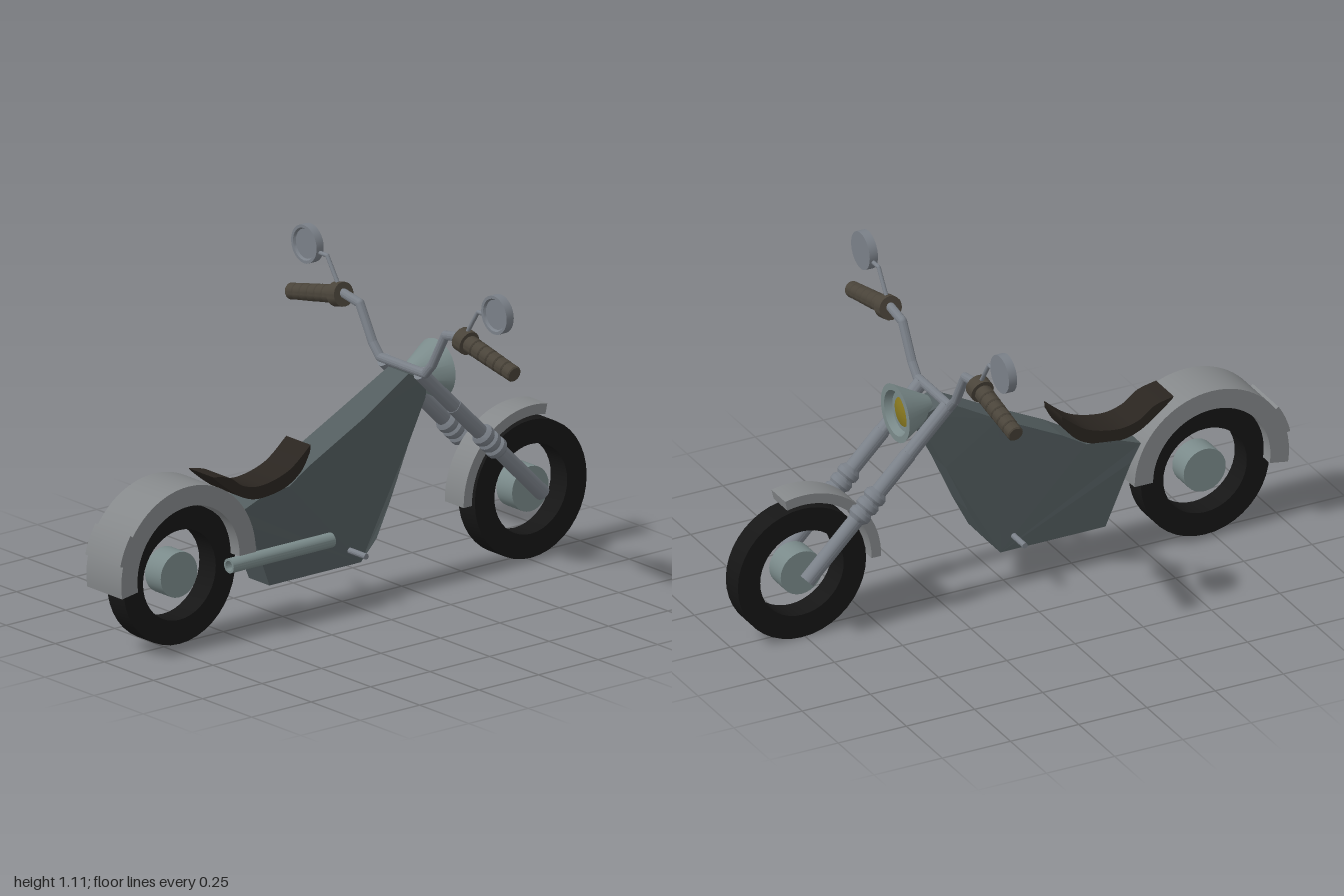
import * as THREE from 'three';
import { toCreasedNormals } from 'three/addons/utils/BufferGeometryUtils.js';

const mat = (color) => new THREE.MeshStandardMaterial({ color, side: THREE.DoubleSide });
const M = {
  rubber: mat(0x161616), steel: mat(0x7a8088), chrome: mat(0x7a8a8a), body: mat(0x525c5e),
  fender: mat(0x85888a), seat: mat(0x2a2520), grip: mat(0x4a443a), lens: mat(0x8a7a20),
};
const V = (x, y, z) => new THREE.Vector3(x, y, z);
const X = V(1, 0, 0), Y = V(0, 1, 0), Z = V(0, 0, 1);

function add(parent, name, geometry, material) {
  const mesh = new THREE.Mesh(geometry, material);
  mesh.name = name;
  parent.add(mesh);
  return mesh;
}

// Turned part: [radius, distance] profile along an axis starting at pos
function turned(parent, name, profile, pos, axis, material, sides = 24) {
  const pts = profile.map(([r, d]) => new THREE.Vector2(r, d));
  const mesh = add(parent, name, toCreasedNormals(new THREE.LatheGeometry(pts, sides), 0.6), material);
  mesh.position.copy(pos);
  mesh.quaternion.setFromUnitVectors(Y, axis.clone().normalize());
  return mesh;
}

// Solid rod between two points
function rod(parent, name, a, b, r, material, sides = 16) {
  const dir = b.clone().sub(a), len = dir.length();
  return turned(parent, name, [[0, 0], [r, 0], [r, len], [0, len]], a, dir, material, sides);
}

// Side outline extruded symmetrically across z
function slab(parent, name, shape, half, material) {
  const g = new THREE.ExtrudeGeometry(shape, { depth: half * 2, bevelEnabled: false, curveSegments: 20 });
  g.translate(0, 0, -half);
  return add(parent, name, toCreasedNormals(g, 0.5), material);
}

function arcBand(cx, cy, inner, outer, fromDeg, toDeg) {
  const a = THREE.MathUtils.degToRad(fromDeg), b = THREE.MathUtils.degToRad(toDeg);
  const s = new THREE.Shape();
  s.absarc(cx, cy, outer, a, b, false);
  s.absarc(cx, cy, inner, b, a, true);
  s.closePath();
  return s;
}

function wheel(parent, name, x, y) {
  const g = new THREE.Group();
  g.name = name;
  const w = 0.042;
  turned(g, 'tire', [[0.153, -w], [0.235, -w], [0.235, w], [0.153, w], [0.153, -w]], V(0, 0, 0), Z, M.rubber, 40);
  rod(g, 'hub', V(0, 0, -0.04), V(0, 0, 0.04), 0.077, M.chrome, 28);
  g.position.set(x, y, 0);
  parent.add(g);
}

function bodyShell(parent) {
  const outline = [
    [-0.345, 0.14], [0.04, 0.14], [0.1, 0.21], [0.16, 0.325], [0.24, 0.5], [0.315, 0.645], [0.32, 0.71],
    [0.24, 0.74], [0.05, 0.635], [-0.18, 0.52], [-0.27, 0.465], [-0.39, 0.45], [-0.47, 0.42], [-0.435, 0.36],
  ];
  const shape = new THREE.Shape(outline.map(([x, y]) => new THREE.Vector2(x, y)));
  const g = new THREE.ExtrudeGeometry(shape, { depth: 2, bevelEnabled: false });
  g.translate(0, 0, -1);
  // Narrow the shell toward the steering head and along the belly
  const p = g.attributes.position;
  for (let i = 0; i < p.count; i++) {
    const front = THREE.MathUtils.clamp((p.getX(i) - 0.04) / 0.25, 0, 1);
    const belly = p.getY(i) < 0.2 ? 0.01 : 0;
    p.setZ(i, p.getZ(i) * (0.062 - 0.014 * front - belly));
  }
  g.computeVertexNormals();
  add(parent, 'body', g, M.body);
}

function fork(parent, z) {
  const a = V(0.255, 0.75, z), b = V(0.77, 0.235, z), dir = b.clone().sub(a), len = dir.length();
  const r = 0.0265;
  const profile = [[0, 0], [r - 0.002, 0], [r - 0.002, 0.2], [r, 0.2], [r, 0.355]];
  // Three rounded gaiter rings
  for (let i = 0; i < 3; i++) {
    const d = 0.36 + i * 0.037;
    profile.push([0.031, d], [0.038, d + 0.009], [0.038, d + 0.026], [0.031, d + 0.035]);
  }
  profile.push([r, 0.475], [r, len], [0, len]);
  turned(parent, 'fork', profile, a, dir, M.steel, 20);
}

// Chain of rods with ball joints
function bentRod(parent, name, points, r, material) {
  for (let i = 1; i < points.length; i++) {
    rod(parent, name, points[i - 1], points[i], r, material, 14);
    if (i < points.length - 1) {
      add(parent, name + 'Joint', new THREE.SphereGeometry(r, 14, 10), material).position.copy(points[i]);
    }
  }
}

function handlebarSide(s) {
  const g = new THREE.Group();
  g.name = s > 0 ? 'rightHandlebar' : 'leftHandlebar';
  const x = 0.254;
  const at = (y, z) => V(x, y, s * z);
  bentRod(g, 'bar', [at(0.755, 0), at(0.755, 0.115), at(0.795, 0.152), at(0.912, 0.218), at(0.926, 0.3), at(0.866, 0.562)], 0.0155, M.steel);

  // Collar and ribbed grip
  const start = at(0.922, 0.3), dir = at(0.866, 0.57).sub(start);
  const profile = [[0, 0], [0.041, 0], [0.041, 0.04], [0.027, 0.04]];
  for (let i = 0; i < 6; i++) {
    const d = 0.042 + i * 0.039, r = 0.0305 - i * 0.0006;
    profile.push([r - 0.004, d], [r, d + 0.004], [r, d + 0.035], [r - 0.004, d + 0.039]);
  }
  profile.push([0, 0.276]);
  turned(g, 'grip', profile, start, dir, M.grip, 18);

  // Mirror with a recessed face toward the rider
  bentRod(g, 'mirrorStem', [at(0.94, 0.322), at(1.033, 0.384), at(1.033, 0.43)], 0.007, M.steel);
  turned(g, 'mirror', [[0, 0.008], [0.05, 0.008], [0.055, 0], [0.065, 0], [0.065, 0.03], [0, 0.03]],
    V(0.238, 1.05, s * 0.484), X, M.steel, 32);
  return g;
}

export function createModel() {
  const model = new THREE.Group();
  model.name = 'motorcycle';
  const chassis = new THREE.Group();
  chassis.name = 'chassis';
  chassis.position.z = -0.005;
  model.add(chassis);

  wheel(chassis, 'rearWheel', -0.715, 0.25);
  wheel(chassis, 'frontWheel', 0.762, 0.238);
  bodyShell(chassis);

  // Fenders
  slab(chassis, 'rearFender', arcBand(-0.715, 0.28, 0.215, 0.283, 0, 189), 0.089, M.fender);
  slab(chassis, 'tailBlock', arcBand(-0.715, 0.28, 0.26, 0.295, 146, 167), 0.089, M.fender);
  slab(chassis, 'frontFender', arcBand(0.762, 0.238, 0.252, 0.287, 77, 181), 0.048, M.fender);

  // Seat crescent
  const seat = new THREE.Shape();
  seat.moveTo(-0.59, 0.562);
  seat.splineThru([[-0.52, 0.545], [-0.46, 0.505], [-0.38, 0.492], [-0.27, 0.52], [-0.18, 0.588]].map(([x, y]) => new THREE.Vector2(x, y)));
  seat.lineTo(-0.182, 0.565);
  seat.splineThru([[-0.22, 0.505], [-0.29, 0.463], [-0.39, 0.449], [-0.46, 0.465], [-0.53, 0.51], [-0.585, 0.555]].map(([x, y]) => new THREE.Vector2(x, y)));
  seat.closePath();
  slab(chassis, 'seat', seat, 0.062, M.seat);

  // Exhaust with an open rear end
  turned(chassis, 'exhaust', [[0, 0.03], [0.017, 0.03], [0.017, 0], [0.025, 0], [0.025, 0.43], [0, 0.43]],
    V(-0.545, 0.257, 0.088), X, M.chrome, 20);
  rod(chassis, 'footPegs', V(-0.008, 0.19, -0.132), V(-0.008, 0.19, 0.138), 0.01, M.steel, 12);

  for (const s of [-1, 1]) {
    fork(chassis, s * 0.092);
    model.add(handlebarSide(s));
  }

  // Headlight bowl and lens
  turned(chassis, 'headlight', [[0, 0], [0.035, 0], [0.1, 0.12], [0.078, 0.12], [0.068, 0.095], [0, 0.09]],
    V(0.278, 0.715, 0), X, M.chrome, 32);
  turned(chassis, 'headlightLens', [[0.05, 0], [0.05, 0.008], [0.03, 0.014], [0, 0.016]],
    V(0.366, 0.714, 0), X, M.lens, 28);
  return model;
}
